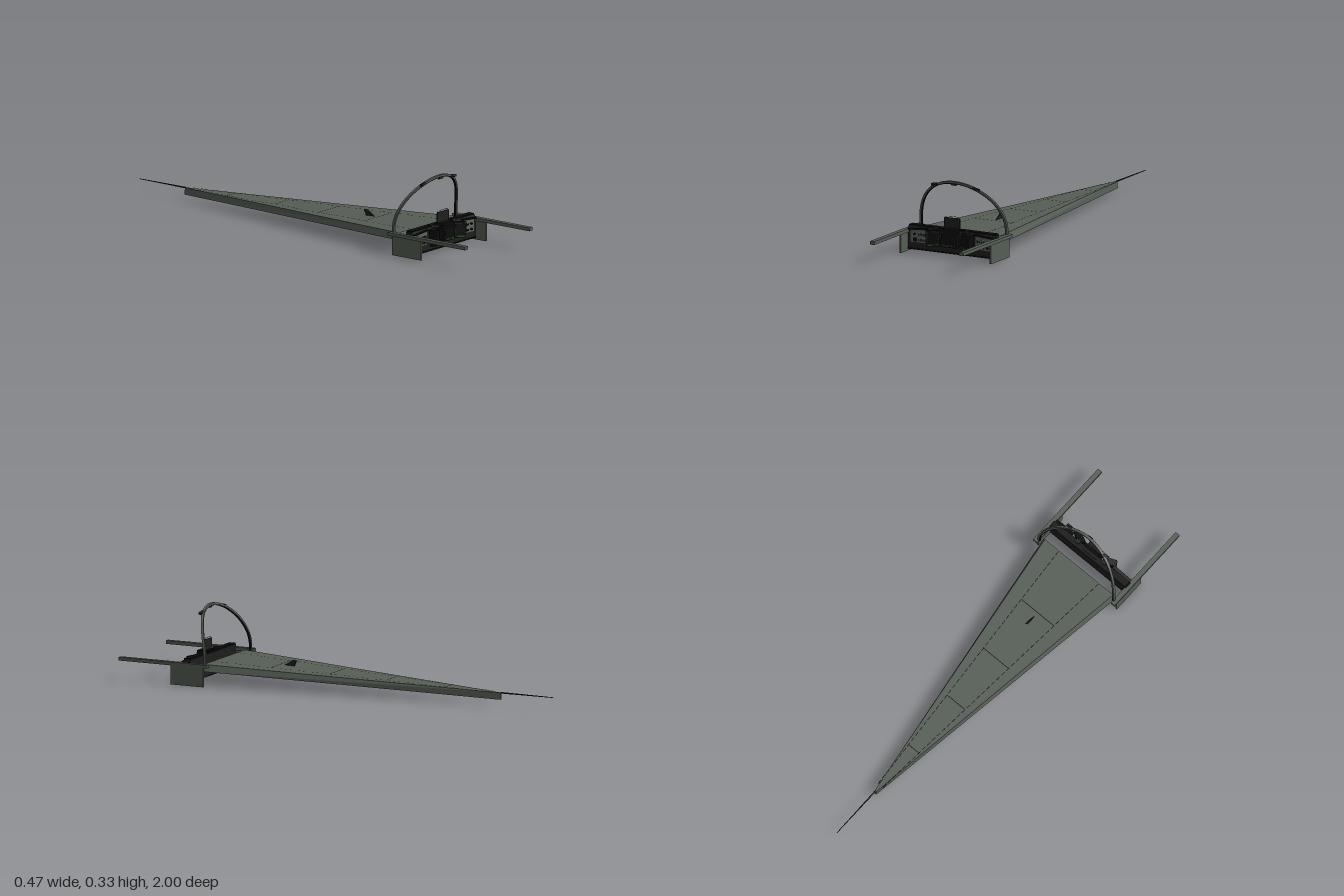
import * as THREE from 'three';

const mat = (name, color) => new THREE.MeshStandardMaterial({ name, color, side: THREE.DoubleSide });

export function createModel() {
  const grey = mat('greyGreen', 0x565e56);
  const panelGrey = mat('panelGrey', 0x5f665f);
  const dark = mat('charcoal', 0x1e1f1e);
  const black = mat('black', 0x0a0b0a);
  const green = mat('green', 0x2a8a1c);
  const pale = mat('paleMark', 0xa4a8a2);

  const model = new THREE.Group();
  const add = (name, geo, material, parent = model, x = 0, y = 0, z = 0) => {
    const m = new THREE.Mesh(geo, material);
    m.name = name;
    m.position.set(x, y, z);
    parent.add(m);
    return m;
  };
  const box = (name, w, h, d, material, x, y, z, parent = model) =>
    add(name, new THREE.BoxGeometry(w, h, d), material, parent, x, y, z);
  // one surface from any number of four-cornered faces
  const quads = (faces) => {
    const pos = [];
    for (const [a, b, c, d] of faces) pos.push(...a, ...b, ...c, ...a, ...c, ...d);
    const g = new THREE.BufferGeometry();
    g.setAttribute('position', new THREE.Float32BufferAttribute(pos, 3));
    g.computeVertexNormals();
    return g;
  };

  // ---- long tapering nose: top sheet, leaning side walls, tip cap
  const zBack = 0.605, zTip = -0.745, len = zBack - zTip;
  const along = (z) => (z - zTip) / len;
  const yTop = (z) => 0.052 + 0.043 * along(z);
  const half = (z) => 0.004 + 0.192 * along(z);
  const top = (s, z) => [s * half(z), yTop(z), z];
  const low = (s, z) => [s * (half(z) + 0.002 + 0.01 * along(z)), yTop(z) - 0.03, z];
  add('noseTop', quads([[top(-1, zBack), top(1, zBack), top(1, zTip), top(-1, zTip)]]), grey);
  for (const s of [-1, 1]) {
    add('noseWall', quads([s > 0
      ? [low(s, zBack), low(s, zTip), top(s, zTip), top(s, zBack)]
      : [low(s, zTip), low(s, zBack), top(s, zBack), top(s, zTip)]]), grey);
  }
  add('noseTipCap', quads([[low(1, zTip), low(-1, zTip), top(-1, zTip), top(1, zTip)]]), grey);

  // ---- panel lines lying on the nose
  const seamX = (z) => 0.01 + 0.105 * along(z);
  const flat = (x0, z0, x1, z1, w, across) => {
    const p = (x, z) => [x, yTop(z) + 0.001, z];
    return across
      ? [p(x0, z0 + w), p(x1, z1 + w), p(x1, z1 - w), p(x0, z0 - w)]
      : [p(x0 - w, z0), p(x0 + w, z0), p(x1 + w, z1), p(x1 - w, z1)];
  };
  const seams = [];
  for (const z of [0.33, 0.055, -0.21, -0.49]) seams.push(flat(-seamX(z), z, seamX(z), z, 0.0018, true));
  for (let z = 0.6; z > -0.72; z -= 0.03) {
    for (const s of [-1, 1]) seams.push(flat(s * seamX(z), z, s * seamX(z - 0.02), z - 0.02, 0.0018, false));
  }
  add('nosePanelLines', quads(seams), black);

  // ---- swept blade on top of the nose and probe at the tip
  const fin = new THREE.Shape([[0.315, 0.082], [0.27, 0.11], [0.25, 0.11], [0.265, 0.078]]
    .map(([z, y]) => new THREE.Vector2(-z, y)));
  const finGeo = new THREE.ExtrudeGeometry(fin, { depth: 0.004, bevelEnabled: false });
  finGeo.rotateY(Math.PI / 2).translate(-0.002, 0, 0);
  add('bladeAerial', finGeo, dark);
  const probe = new THREE.CylinderGeometry(0.0015, 0.0035, 0.257, 10).rotateX(-Math.PI / 2);
  add('noseProbe', probe, dark, model, 0, 0.052, -0.8715);

  // ---- side rails and side plates
  for (const s of [-1, 1]) {
    box('sideRail', 0.022, 0.015, 0.43, grey, s * 0.223, 0.0925, 0.785);
    box('sidePlate', 0.008, 0.09, 0.16, grey, s * 0.225, 0.045, 0.67);
  }

  // ---- arched windscreen frame, leaning towards the seat
  const N = 48;
  const band = (r0, r1, d) => {
    const rings = [];
    for (let i = 0; i <= N + 2; i++) {
      const foot = i === 0 || i === N + 2;
      const a = Math.PI * Math.min(Math.max(i - 1, 0), N) / N;
      const c = Math.cos(a), s = Math.sin(a);
      const z = 0.588 + 0.083 * Math.pow(s, 1.7);
      const y0 = foot ? 0.09 : 0.12;
      const pt = (r, dz) => [c * (0.213 + r), y0 + s * (0.202 + r), z + dz];
      rings.push([pt(r0, -d), pt(r1, -d), pt(r1, d), pt(r0, d)]);
    }
    const faces = [];
    for (let i = 0; i < rings.length - 1; i++) {
      for (let k = 0; k < 4; k++) {
        const j = (k + 1) % 4;
        faces.push([rings[i][k], rings[i + 1][k], rings[i + 1][j], rings[i][j]]);
      }
    }
    return quads(faces);
  };
  add('archFrame', band(-0.002, 0.006, 0.006), grey);
  add('archSeal', band(-0.006, -0.002, 0.004), black);
  for (const x of [-0.103, 0, 0.103]) {
    const m = box('archMirror', x ? 0.03 : 0.022, 0.01, 0.014, dark, x, x ? 0.303 : 0.315, x ? 0.662 : 0.676);
    m.rotation.z = -Math.sign(x) * 0.2;
    m.rotation.x = -0.3;
  }

  // ---- instrument board: slab with hood
  const prof = new THREE.Shape([[0.66, 0.112], [0.69, 0.112], [0.695, 0.1], [0.695, 0.012], [0.668, 0.012]]
    .map(([z, y]) => new THREE.Vector2(-z, y)));
  const board = new THREE.ExtrudeGeometry(prof, { depth: 0.436, bevelEnabled: false });
  add('instrumentBoard', board.rotateY(Math.PI / 2).translate(-0.218, 0, 0), dark);
  box('boardHood', 0.43, 0.008, 0.03, black, 0, 0.114, 0.675);
  box('boardFoot', 0.436, 0.005, 0.032, black, 0, 0.0125, 0.683);
  for (const s of [-1, 1]) {
    const brow = box('hoodBrow', 0.1, 0.004, 0.014, black, s * 0.165, 0.104, 0.7);
    brow.rotation.z = -s * 0.09;
    box('hoodKnob', 0.02, 0.009, 0.018, dark, s * 0.075, 0.118, 0.685);

    // switch panel with knobs and small marked switches
    const shape = new THREE.Shape([[0.122, 0.044], [0.203, 0.042], [0.203, 0.095], [0.122, 0.101]]
      .map(([x, y]) => new THREE.Vector2(s * x, y)));
    add('switchPanel', new THREE.ExtrudeGeometry(shape, { depth: 0.004, bevelEnabled: false }), panelGrey, model, 0, 0, 0.694);
    for (const y of [0.08, 0.055]) {
      const knob = new THREE.CylinderGeometry(0.0045, 0.0045, 0.01, 14).rotateX(Math.PI / 2);
      add('panelKnob', knob, black, model, s * 0.182, y, 0.702);
      for (let i = 0; i < 4; i++) {
        const x = s * (0.13 + i * 0.0105);
        box('switch', 0.002, 0.008, 0.005, dark, x, y, 0.7);
        box('switchMark', 0.004, 0.0012, 0.001, pale, x, y + 0.007, 0.6985);
        box('switchBase', 0.006, 0.0015, 0.002, black, x, y - 0.005, 0.6985);
      }
    }
  }
  box('gearSwitch', 0.014, 0.016, 0.004, black, -0.182, 0.055, 0.7);
  box('gearSwitchMark', 0.004, 0.004, 0.001, pale, -0.182, 0.058, 0.7025);

  // ---- three displays with bezel, buttons and green legends
  const display = (x, y, z, w, h, yaw, roll) => {
    const g = new THREE.Group();
    g.name = 'display';
    g.position.set(x, y, z);
    g.rotation.set(-0.08, yaw, roll);
    model.add(g);
    box('displayBody', w, h, 0.026, black, 0, 0, 0, g);
    box('displayBezel', w * 0.92, h * 0.94, 0.004, dark, 0, 0, 0.014, g);
    box('displayGlass', w * 0.72, h * 0.7, 0.002, black, 0, 0.002, 0.0165, g);
    box('displayLegend', w * 0.7, 0.0016, 0.002, green, 0, -h * 0.4, 0.0165, g);
    for (let i = -2; i <= 2; i++) {
      for (const s of [-1, 1]) {
        box('displayButton', 0.004, 0.005, 0.003, black, s * w * 0.41, i * h * 0.15, 0.0165, g);
        box('displayButton', 0.005, 0.004, 0.003, black, i * w * 0.15, s * h * 0.435, 0.0165, g);
      }
    }
  };
  display(0, 0.076, 0.71, 0.076, 0.068, 0, 0);
  for (const s of [-1, 1]) display(s * 0.085, 0.073, 0.708, 0.062, 0.07, -s * 0.45, -s * 0.1);

  // ---- head-up sight: base, dark plate with narrowed foot, thin arched glass edge
  box('sightBase', 0.07, 0.014, 0.05, black, 0, 0.115, 0.695);
  const plate = new THREE.Shape([[-0.034, 0.12], [0.034, 0.12], [0.04, 0.13], [0.04, 0.166],
    [0.037, 0.169], [-0.037, 0.169], [-0.04, 0.166], [-0.04, 0.13]].map(([x, y]) => new THREE.Vector2(x, y)));
  add('sightPlate', new THREE.ExtrudeGeometry(plate, { depth: 0.004, bevelEnabled: false }), dark, model, 0, 0, 0.686);
  const rim = new THREE.CatmullRomCurve3([[-0.04, 0.165], [-0.036, 0.171], [-0.02, 0.1745], [0, 0.175],
    [0.02, 0.1745], [0.036, 0.171], [0.04, 0.165]].map(([x, y]) => new THREE.Vector3(x, y, 0.688)));
  add('sightRim', new THREE.TubeGeometry(rim, 24, 0.0008, 6), black);

  return model;
}
